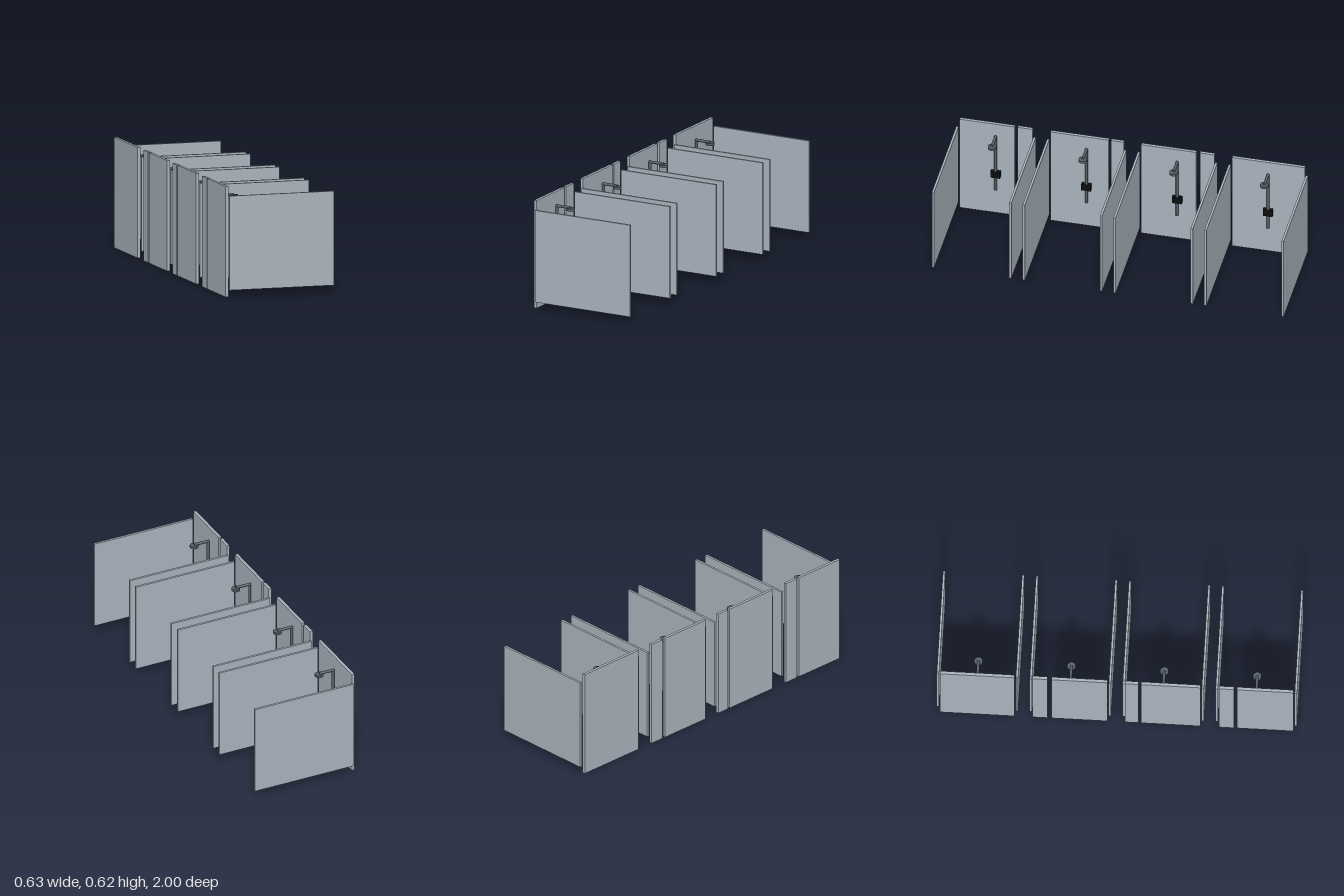
import * as THREE from 'three';

export function createModel() {
  const group = new THREE.Group();
  group.name = 'showerStalls';

  const mat = (name, color) => {
    const m = new THREE.MeshStandardMaterial({ color });
    m.name = name;
    return m;
  };
  const panelGrey = mat('panelGrey', 0xa9b4bd);
  const pipeMetal = mat('pipeMetal', 0x566067);
  const valveBlack = mat('valveBlack', 0x0c0e10);

  // Box given by its minimum and maximum corners
  const box = (parent, name, material, [x0, y0, z0], [x1, y1, z1]) => {
    const mesh = new THREE.Mesh(new THREE.BoxGeometry(x1 - x0, y1 - y0, z1 - z0), material);
    mesh.position.set((x0 + x1) / 2, (y0 + y1) / 2, (z0 + z1) / 2);
    mesh.name = name;
    parent.add(mesh);
    return mesh;
  };
  const cylinder = (parent, name, r, h, x, y) => {
    const mesh = new THREE.Mesh(new THREE.CylinderGeometry(r, r, h, 24), pipeMetal);
    mesh.position.set(x, y, 0);
    mesh.name = name;
    parent.add(mesh);
    return mesh;
  };

  // Four stalls, each with two side partitions and a shower
  for (const z of [-0.774, -0.258, 0.258, 0.774]) {
    const stall = new THREE.Group();
    stall.name = 'stall';
    stall.position.z = z;
    group.add(stall);

    for (const s of [-1, 1]) {
      box(stall, 'sidePartition', panelGrey,
        [-0.296, 0.04, s * 0.2195 - 0.0065], [0.313, 0.568, s * 0.2195 + 0.0065]);
    }

    // Riser, arm, rounded elbow and shower head
    cylinder(stall, 'riserPipe', 0.008, 0.372, -0.284, 0.356);
    const elbow = new THREE.Mesh(new THREE.SphereGeometry(0.008, 16, 12), pipeMetal);
    elbow.position.set(-0.284, 0.542, 0);
    elbow.name = 'pipeElbow';
    stall.add(elbow);
    cylinder(stall, 'showerArm', 0.008, 0.087, -0.2405, 0.542).rotation.z = Math.PI / 2;
    cylinder(stall, 'showerHead', 0.024, 0.014, -0.197, 0.534);

    // Valve: wall plate and control block
    box(stall, 'valvePlate', valveBlack, [-0.296, 0.258, -0.027], [-0.274, 0.3, 0.027]);
  }

  // Wall panels and narrow fillers along the closed side
  const walls = [
    [-0.981, -0.567], [-0.467, -0.384], [-0.363, -0.051], [0.047, 0.121],
    [0.134, 0.465], [0.567, 0.652], [0.668, 0.981],
  ];
  for (const [z0, z1] of walls) {
    box(group, z1 - z0 < 0.1 ? 'fillerPanel' : 'wallPanel', panelGrey,
      [-0.313, 0, z0], [-0.296, 0.62, z1]);
  }
  return group;
}
